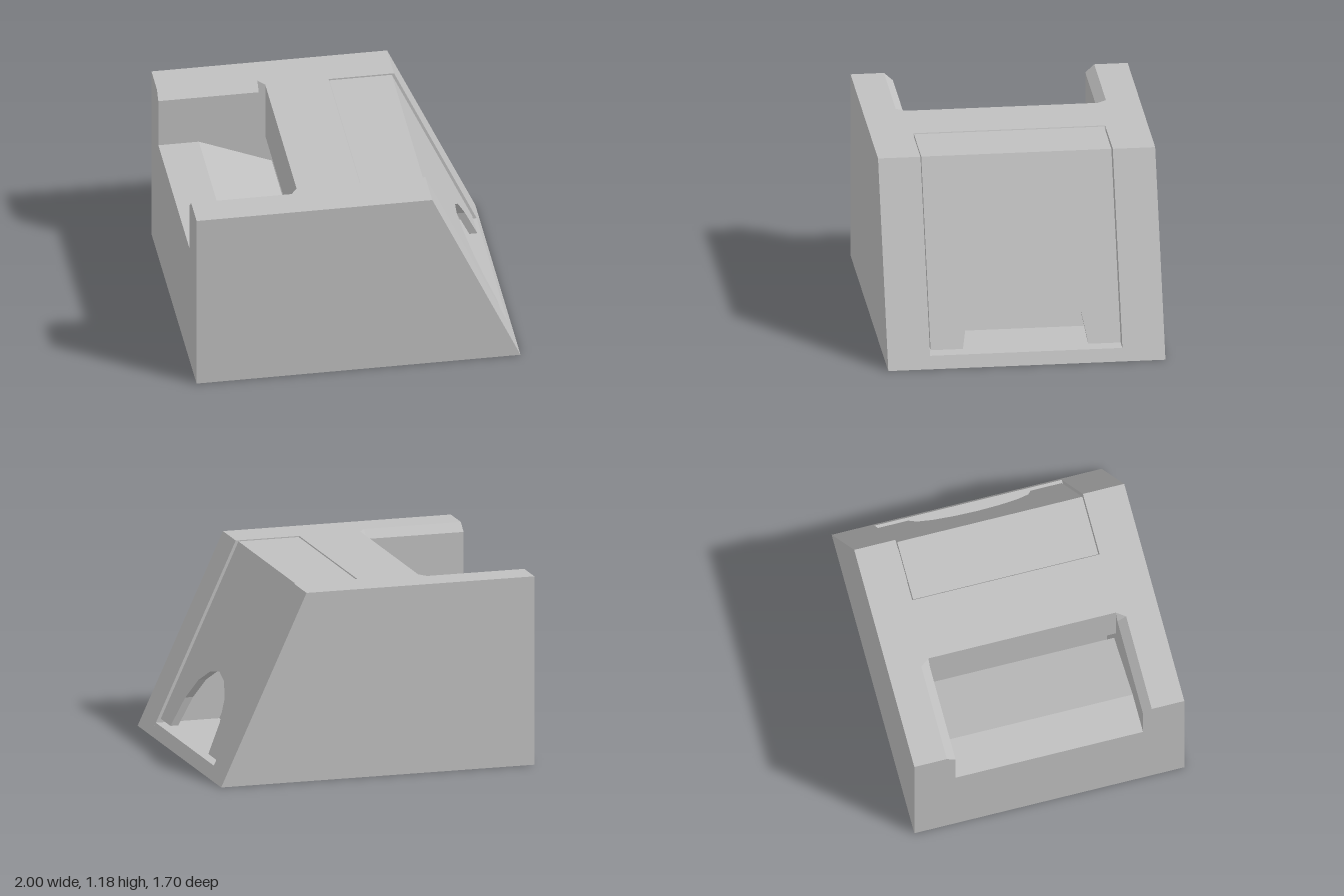
import * as THREE from 'three';
import { ConvexGeometry } from 'three/addons/geometries/ConvexGeometry.js';

const HALF = 0.85, INNER = 0.59, CHAMFER = 0.645, TOP = 1.18;
const SLOPE = 0.4615; // x run of the sloped end per unit of height

export function createModel() {
  const group = new THREE.Group();
  const grey = new THREE.MeshStandardMaterial({ color: 0xc0c0c0, flatShading: true });
  grey.name = 'plain grey';

  const shapeOf = (pts) => new THREE.Shape(pts.map(([x, y]) => new THREE.Vector2(x, y)));
  const add = (name, geometry) => {
    const mesh = new THREE.Mesh(geometry, grey);
    mesh.name = name;
    group.add(mesh);
    return mesh;
  };
  // side profile (x, y) extruded from z0 to z1
  const slab = (name, pts, z0, z1) => {
    const g = new THREE.ExtrudeGeometry(shapeOf(pts), { depth: z1 - z0, bevelEnabled: false });
    return add(name, g.translate(0, 0, z0));
  };
  const convex = (name, pts) => add(name, new ConvexGeometry(pts.map((p) => new THREE.Vector3(...p))));

  // middle of the body: hopper with ramp and shaft at the back end, sloped recess at the other
  slab('bodyCore', [
    [-1, 0], [1, 0], [0.965, 0.075], [0.56, 0.075], [0.05, TOP], [-0.34, TOP],
    [-0.34, 0.81], [-0.13, 0.81], [-0.13, 0.1], [-0.3, 0.1], [-0.3, 0.626], [-0.75, 0.81], [-1, 0.81],
  ], -INNER, INNER);

  // side walls, with the hopper's rim chamfered
  const outer = [[-1, 0], [1, 0], [0.455, TOP], [-1, TOP]];
  const inner = [[-1, 0], [1, 0], [0.455, TOP], [-0.34, TOP], [-0.38, 1.13], [-1, 1.13]];
  for (const [s, side] of [[1, 'left'], [-1, 'right']]) {
    const span = (a, b) => (s > 0 ? [a, b] : [-b, -a]);
    slab(side + 'OuterWall', outer, ...span(CHAMFER, HALF));
    slab(side + 'InnerWall', inner, ...span(INNER, CHAMFER));
    const a = s * INNER, b = s * CHAMFER;
    convex(side + 'RimChamfer', [
      [-1, 1.13, a], [-1, 1.13, b], [-1, TOP, b], [-0.38, 1.13, a], [-0.38, 1.13, b], [-0.38, TOP, b],
    ]);
    convex(side + 'RimCorner', [
      [-0.38, 1.13, a], [-0.38, 1.13, b], [-0.38, TOP, b], [-0.34, TOP, a], [-0.34, TOP, b],
    ]);
  }

  // removable cover: sloped plate with an arched doorway
  const w = 0.583, base = 0.1, coverTop = 1.175;
  const arch = [[0.385, base], [0.35, 0.28], [0.265, 0.405], [0.14, 0.485]];
  const outline = [
    [-w, base],
    ...arch.map(([z, y]) => [-z, y]),
    [0, 0.515],
    ...[...arch].reverse(),
    [w, base], [w, coverTop], [-w, coverTop],
  ];
  const plate = new THREE.ExtrudeGeometry(shapeOf(outline), { depth: 0.05, bevelEnabled: false });
  const p = plate.attributes.position;
  for (let i = 0; i < p.count; i++) {
    const z = p.getX(i), y = p.getY(i), depth = p.getZ(i);
    p.setXYZ(i, 0.44 + (coverTop - y) * SLOPE - depth, y, z);
  }
  plate.computeVertexNormals();
  add('coverFront', plate);

  // flat top of the cover
  slab('coverTop', [[0.078, 1.125], [0.413, 1.125], [0.39, coverTop], [0.055, coverTop]], -w, w);

  return group;
}
